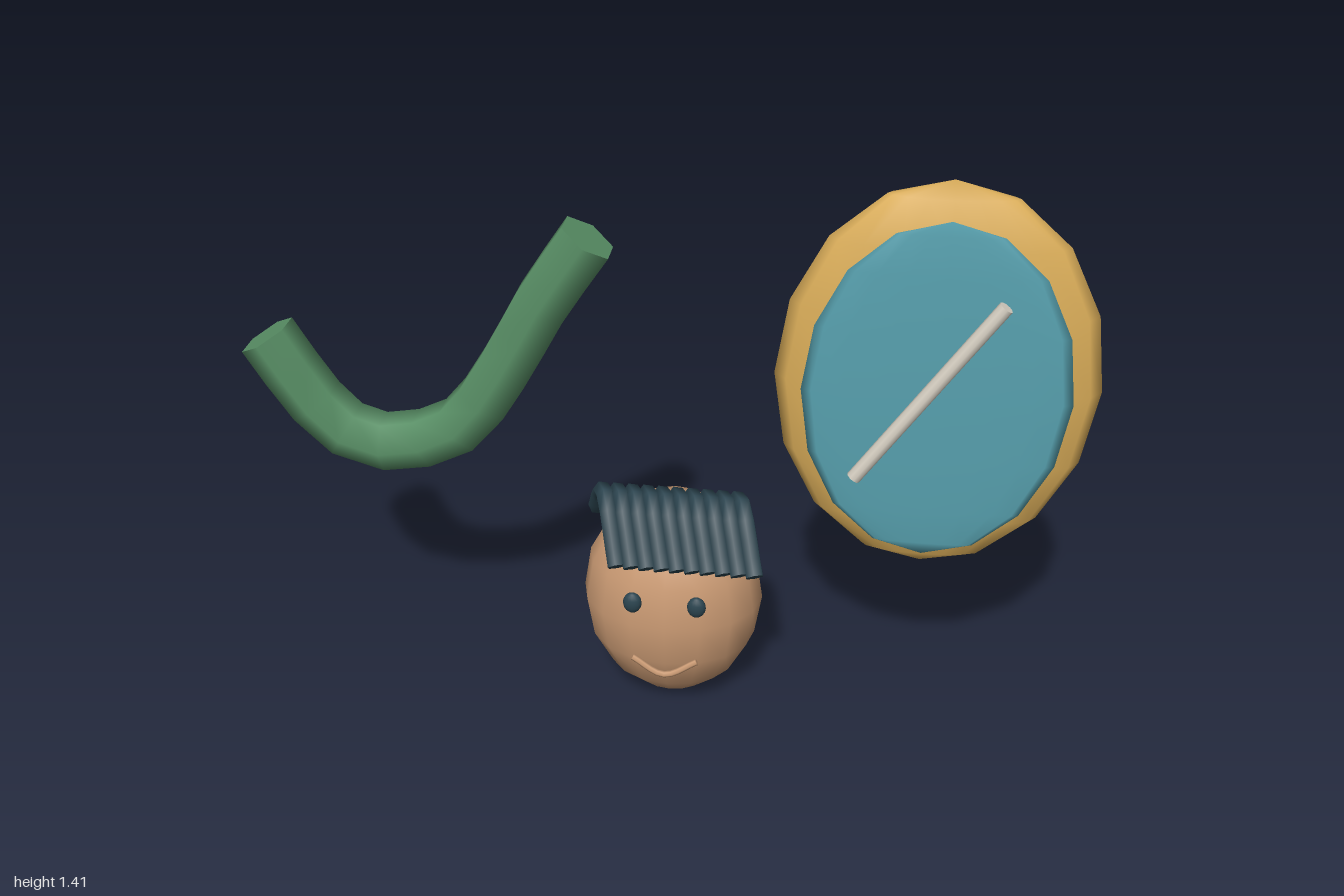
import * as THREE from 'three';

const V = (x, y, z) => new THREE.Vector3(x, y, z);

function material(name, color) {
  const m = new THREE.MeshStandardMaterial({ color });
  m.name = name;
  return m;
}

export function createModel() {
  const group = new THREE.Group();
  const skin = material('skin', 0xcb9b74);
  const dark = material('dark slate', 0x2b444f);
  const green = material('green', 0x588e65);
  const gold = material('gold', 0xdaad59);
  const teal = material('teal', 0x57a0ae);
  const ivory = material('ivory', 0xd6cfc2);

  function add(name, geometry, mat, parent = group) {
    const mesh = new THREE.Mesh(geometry, mat);
    mesh.name = name;
    parent.add(mesh);
    return mesh;
  }

  // Stretched sphere with the given centre and radii
  function ellipsoid(name, mat, center, radii, parent) {
    const g = new THREE.SphereGeometry(1, 16, 8).scale(...radii);
    add(name, g, mat, parent).position.set(...center);
  }

  // Tube along a smooth path, closed by a flat disc at each end
  function cappedTube(name, mat, points, radius, segments, sides, parent = group) {
    const part = new THREE.Group();
    part.name = name;
    parent.add(part);
    const curve = new THREE.CatmullRomCurve3(points);
    const tube = new THREE.TubeGeometry(curve, segments, radius, sides);
    add(name + 'Body', tube, mat, part);
    const pos = tube.attributes.position;
    for (const end of [0, 1]) {
      const center = curve.getPointAt(end);
      const outward = curve.getTangentAt(end).multiplyScalar(end ? 1 : -1);
      const cap = add(name + 'Cap', new THREE.CircleGeometry(radius, sides), mat, part);
      // Line the disc's corners up with the tube's end ring
      const xAxis = V().fromBufferAttribute(pos, end * segments * (sides + 1)).sub(center).normalize();
      const yAxis = V().crossVectors(outward, xAxis);
      cap.quaternion.setFromRotationMatrix(new THREE.Matrix4().makeBasis(xAxis, yAxis, outward));
      cap.position.copy(center);
    }
  }

  // Head and face
  ellipsoid('head', skin, [0.027, 0.29, 0], [0.225, 0.285, 0.18]);
  for (const side of [-1, 1]) {
    ellipsoid(side < 0 ? 'rightEye' : 'leftEye', dark,
      [0.027 + side * 0.078, 0.363, 0.171], [0.023, 0.028, 0.015]);
  }
  cappedTube('mouth', skin,
    [V(-0.053, 0.194, 0.164), V(0.027, 0.155, 0.174), V(0.107, 0.194, 0.164)], 0.008, 10, 6);

  // Row of hair locks arching from back to front
  const hair = new THREE.Group();
  hair.name = 'hair';
  group.add(hair);
  for (let i = 0; i < 10; i++) {
    const x = i * 0.0367;
    cappedTube('hairLock', dark,
      [V(x - 0.175, 0.483, -0.065), V(x - 0.135, 0.595, 0.05), V(x - 0.088, 0.463, 0.17)],
      0.023, 8, 6, hair);
  }

  // Bent hexagonal tube
  const path = [
    [-0.957, 0.939], [-0.853, 0.767], [-0.783, 0.695], [-0.687, 0.666],
    [-0.505, 0.722], [-0.382, 0.885], [-0.281, 1.067], [-0.171, 1.233],
  ];
  cappedTube('bentTube', green, path.map(([x, y]) => V(x, y, 0)), 0.072, 12, 6);

  // Oval disc with inlaid face and diagonal bar
  ellipsoid('discRim', gold, [0.63, 0.924, 0], [0.37, 0.487, 0.084]);
  ellipsoid('discFace', teal, [0.628, 0.924, 0.074], [0.303, 0.42, 0.018]);
  const bar = add('discBar', new THREE.CylinderGeometry(0.017, 0.017, 0.54, 10), ivory);
  bar.position.set(0.607, 0.944, 0.108);
  bar.rotation.z = -Math.atan2(0.3, 0.45);

  return group;
}
